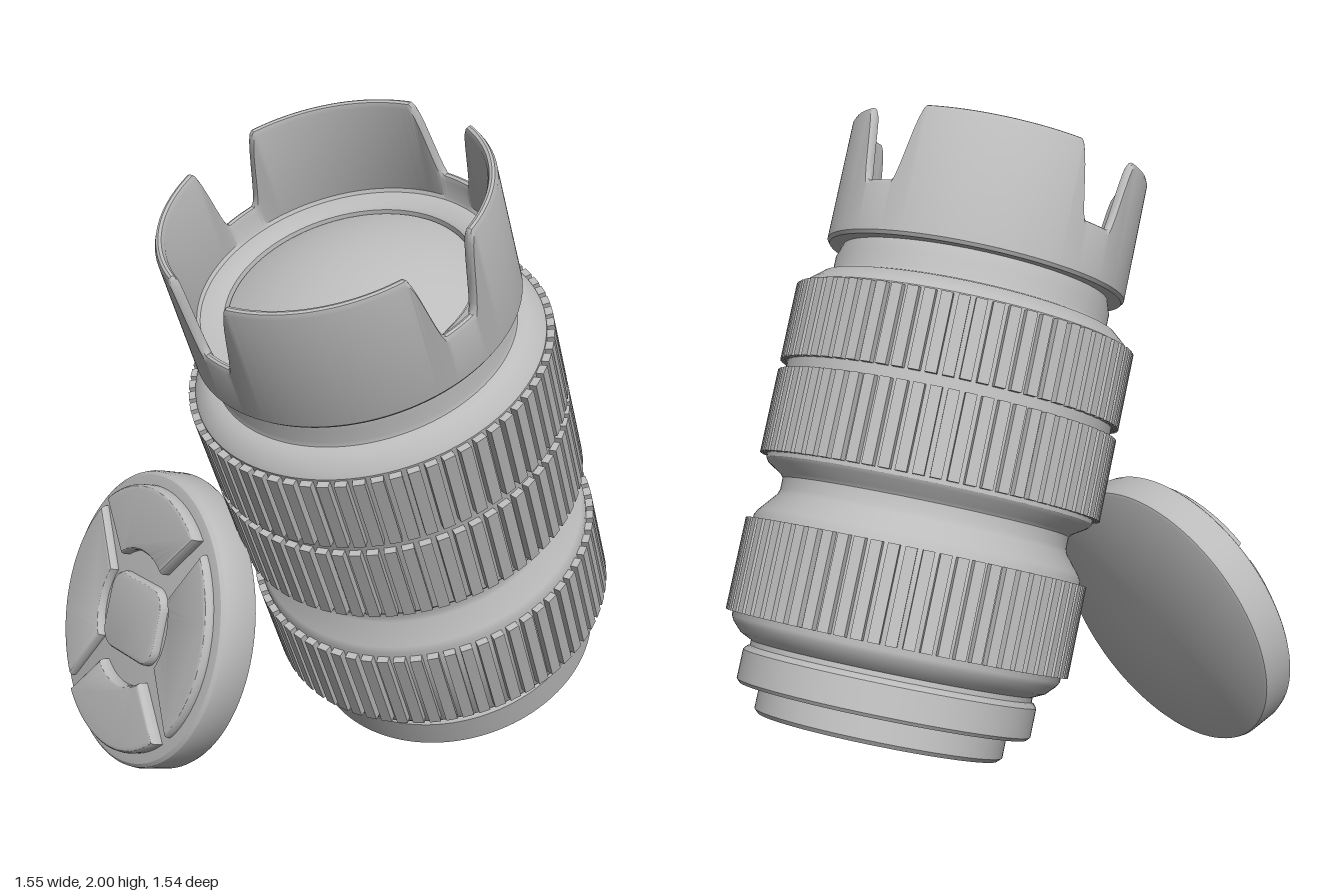
import * as THREE from 'three';
import { mergeGeometries, toCreasedNormals } from 'three/addons/utils/BufferGeometryUtils.js';

const RAD = Math.PI / 180;
const grey = new THREE.MeshStandardMaterial({ color: 0xbbbbbb });
grey.name = 'plain grey';

function add(group, name, geometry) {
  const mesh = new THREE.Mesh(geometry, grey);
  mesh.name = name;
  group.add(mesh);
  return mesh;
}

function lathe(points, segments = 96) {
  return new THREE.LatheGeometry(points.map(([r, y]) => new THREE.Vector2(r, y)), segments);
}

const crease = (geometry) => toCreasedNormals(geometry, 0.55);

// One row of raised bars around a grip ring
function ribRow(y0, y1, count, offset) {
  const bars = [];
  for (let i = 0; i < count; i++) {
    const bar = new THREE.BoxGeometry(0.033, y1 - y0, 0.03);
    bar.translate(0, (y0 + y1) / 2, 0.501);
    bar.rotateY(((i + offset) / count) * Math.PI * 2);
    bars.push(bar);
  }
  return mergeGeometries(bars);
}

// Hood wall whose rim drops into four rounded notches
function hoodGeometry() {
  const rim = 1.793;
  const geometry = lathe([
    [0.40, 1.41], [0.448, 1.41], [0.456, 1.42], [0.455, rim - 0.016], [0.449, rim - 0.003], [0.442, rim],
    [0.434, rim - 0.003], [0.428, rim - 0.016], [0.42, 1.51], [0.41, 1.498],
  ], 360);
  const p = geometry.attributes.position;
  for (let i = 0; i < p.count; i++) {
    if (p.getY(i) < 1.7) continue;
    const angle = Math.atan2(p.getX(i), p.getZ(i)) / RAD + 17 + 360;
    const away = Math.abs(((angle + 45) % 90) - 45);
    const drop = 1 - THREE.MathUtils.smoothstep(away, 6, 15);
    p.setY(i, p.getY(i) - 0.222 * drop);
  }
  return crease(geometry);
}

function buildLens() {
  const lens = new THREE.Group();
  lens.name = 'lens';

  // Barrel, from the recessed rear mount up to the neck under the hood
  add(lens, 'barrel', crease(lathe([
    [0, 0.05], [0.235, 0.05], [0.265, 0.008], [0.275, 0], [0.36, 0], [0.373, 0.012],
    [0.373, 0.078], [0.432, 0.078], [0.442, 0.088], [0.442, 0.175], [0.432, 0.187],
    [0.425, 0.19], [0.425, 0.205], [0.46, 0.222], [0.487, 0.25], [0.495, 0.265],
    [0.495, 0.568], [0.485, 0.585], [0.44, 0.64], [0.435, 0.655], [0.435, 0.69],
    [0.443, 0.70], [0.487, 0.728], [0.495, 0.74],
    [0.495, 1.268], [0.485, 1.282], [0.45, 1.312], [0.425, 1.318], [0.42, 1.33],
    [0.42, 1.37], [0.405, 1.415],
  ], 128)));

  // Rubber grips
  add(lens, 'lowerGripRibs', ribRow(0.28, 0.555, 66, 0));
  add(lens, 'middleGripRibs', ribRow(0.752, 1.0, 66, 0.5));
  add(lens, 'upperGripRibs', ribRow(1.033, 1.262, 66, 0));

  add(lens, 'hood', hoodGeometry());

  // Ring inside the hood, stepping down to the glass
  add(lens, 'retainingRing', crease(lathe([
    [0.43, 1.50], [0.405, 1.502], [0.36, 1.495], [0.35, 1.488], [0.343, 1.465], [0.33, 1.465],
  ])));

  // Domed front glass
  const dome = [];
  for (let i = 0; i <= 14; i++) {
    const r = 0.342 * (1 - i / 14);
    dome.push([r, 1.48 + 0.085 * (1 - (r / 0.342) ** 2)]);
  }
  add(lens, 'frontGlass', lathe(dome));

  // Leans forward
  lens.position.set(0.26, 0.194, -0.407);
  lens.rotation.x = 25.5 * RAD;
  return lens;
}

// Raised pad with softened edges on the cap face
function padGeometry(shape, depth) {
  return crease(new THREE.ExtrudeGeometry(shape, {
    depth, bevelEnabled: true, bevelSize: 0.014, bevelThickness: 0.016, bevelSegments: 3, curveSegments: 24,
  }));
}

function sectorShape(inner, outer, innerHalf, outerHalf, middle) {
  const shape = new THREE.Shape();
  shape.absarc(0, 0, outer, (middle - outerHalf) * RAD, (middle + outerHalf) * RAD, false);
  shape.absarc(0, 0, inner, (middle + innerHalf) * RAD, (middle - innerHalf) * RAD, true);
  shape.closePath();
  return shape;
}

function roundedRect(w, h, r) {
  const s = new THREE.Shape();
  const x = w / 2 - r, y = h / 2 - r;
  s.absarc(x, y, r, 0, Math.PI / 2, false);
  s.absarc(-x, y, r, Math.PI / 2, Math.PI, false);
  s.absarc(-x, -y, r, Math.PI, Math.PI * 1.5, false);
  s.absarc(x, -y, r, Math.PI * 1.5, Math.PI * 2, false);
  s.closePath();
  return s;
}

function buildCap() {
  const cap = new THREE.Group();
  cap.name = 'lensCap';

  // Disc with rounded edges
  const disc = lathe([
    [0, -0.07], [0.432, -0.07], [0.440, -0.066], [0.444, -0.056], [0.444, 0.022],
    [0.440, 0.038], [0.430, 0.047], [0.412, 0.05], [0, 0.05],
  ], 96);
  disc.rotateX(Math.PI / 2);
  add(cap, 'capDisc', crease(disc));

  // Two side pads, two finger clips and the centre pad
  for (const middle of [0, 180]) {
    add(cap, 'sidePad', padGeometry(sectorShape(0.205, 0.385, 30, 41, middle), 0.012)).position.z = 0.048;
    add(cap, 'fingerClip', padGeometry(sectorShape(0.215, 0.385, 32, 38, middle + 90), 0.022)).position.z = 0.048;
  }
  add(cap, 'centrePad', padGeometry(roundedRect(0.27, 0.21, 0.05), 0.012)).position.z = 0.048;

  // Rests against the lens, turned to its right and tipped back
  cap.position.set(-0.352, 0.445, 0.365);
  cap.rotation.set(-17.5 * RAD, -22.5 * RAD, 5 * RAD, 'YXZ');
  return cap;
}

export function createModel() {
  const model = new THREE.Group();
  model.name = 'lensWithCap';
  model.add(buildLens(), buildCap());
  return model;
}
